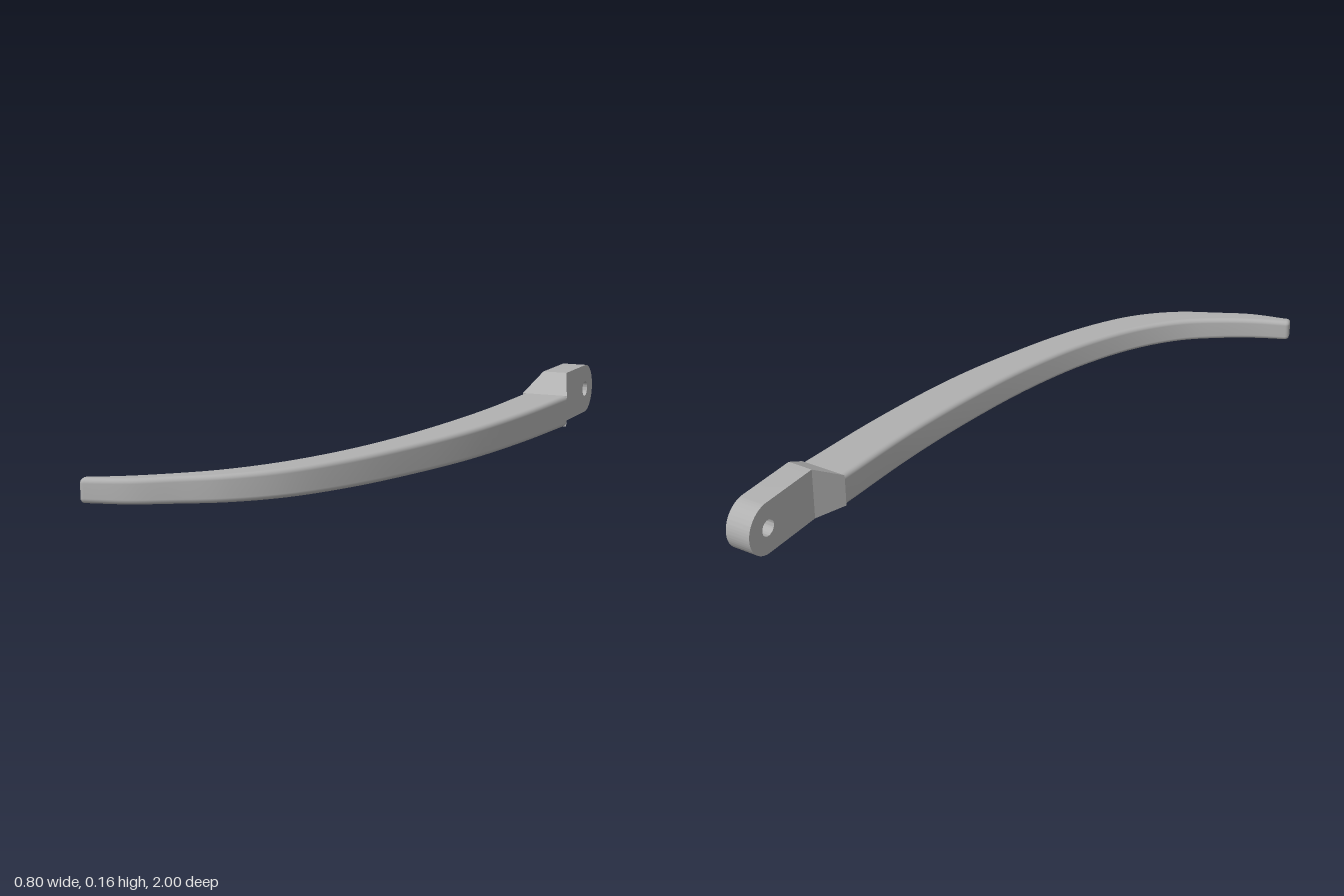
import * as THREE from 'three';
import { toCreasedNormals } from 'three/addons/utils/BufferGeometryUtils.js';

const X0 = 0.285, X1 = 0.365, EAR_TOP = 0.16;

// Curved blade: rounded-rectangle sections swept between an inner and an outer edge
function bladeGeometry() {
  const edge = (pts) => new THREE.CatmullRomCurve3(pts.map(([x, z]) => new THREE.Vector3(x, 0, z)));
  const inner = edge([[0.25, -0.62], [0.235, -0.3], [0.2, 0], [0.155, 0.24], [0.09, 0.46], [0, 0.65],
    [-0.1, 0.78], [-0.2, 0.86], [-0.3, 0.922], [-0.388, 0.963]]);
  const outer = edge([[0.4, -0.62], [0.375, -0.3], [0.329, 0.02], [0.263, 0.28], [0.175, 0.53], [0.072, 0.72],
    [-0.04, 0.836], [-0.16, 0.91], [-0.26, 0.965], [-0.378, 1.0]]);
  const heights = new THREE.SplineCurve([[-0.62, 0.1], [0, 0.092], [0.5, 0.084], [0.8, 0.077], [1, 0.067]]
    .map((p) => new THREE.Vector2(...p)));
  const heightAt = (z) => {
    let lo = 0, hi = 1;
    for (let k = 0; k < 20; k++) {
      const mid = (lo + hi) / 2;
      if (heights.getPoint(mid).x < z) lo = mid; else hi = mid;
    }
    return heights.getPoint(lo).y;
  };
  const positions = [], index = [], steps = 54, seg = 4, ring = 4 * (seg + 1), round = 0.012;

  function addRing(t, inset, advance) {
    const a = inner.getPoint(t), b = outer.getPoint(t);
    const mid = a.clone().add(b).multiplyScalar(0.5);
    const across = b.clone().sub(a);
    const halfW = across.length() / 2 - inset;
    across.normalize();
    const along = inner.getTangent(t).add(outer.getTangent(t)).normalize();
    const h = heightAt(mid.z), halfH = h / 2 - inset;
    const r = Math.max(0.014 - inset, 0.002);
    mid.addScaledVector(along, advance);
    for (let c = 0; c < 4; c++) {
      const sx = c === 0 || c === 3 ? 1 : -1, sy = c < 2 ? 1 : -1;
      for (let k = 0; k <= seg; k++) {
        const ang = (c + k / seg) * Math.PI / 2;
        const w = sx * (halfW - r) + r * Math.cos(ang);
        const y = h / 2 + sy * (halfH - r) + r * Math.sin(ang);
        positions.push(mid.x + across.x * w, y, mid.z + across.z * w);
      }
    }
    return mid.setY(h / 2);
  }

  for (let i = 0; i <= steps; i++) addRing(i / steps, 0, 0);
  let tip, rings = steps + 1;
  for (let k = 1; k <= 4; k++, rings++) { // softened tip
    const q = k / 4 * Math.PI / 2;
    tip = addRing(1, round * (1 - Math.cos(q)), round * Math.sin(q));
  }
  for (let i = 0; i < rings - 1; i++) {
    for (let j = 0; j < ring; j++) {
      const n = (j + 1) % ring;
      const a = i * ring + j, b = i * ring + n, c = b + ring, d = a + ring;
      index.push(a, b, c, a, c, d);
    }
  }
  positions.push(tip.x, tip.y, tip.z);
  const last = (rings - 1) * ring;
  for (let j = 0; j < ring; j++) index.push(last + j, last + (j + 1) % ring, rings * ring);

  const geo = new THREE.BufferGeometry();
  geo.setAttribute('position', new THREE.Float32BufferAttribute(positions, 3));
  geo.setIndex(index);
  geo.computeVertexNormals();
  return geo;
}

// Tapered neck: a box whose two ends match the blade and the pivot ear
function neckGeometry() {
  const geo = new THREE.BoxGeometry(1, 1, 1), p = geo.attributes.position;
  for (let i = 0; i < p.count; i++) {
    const front = p.getZ(i) > 0, right = p.getX(i) > 0, top = p.getY(i) > 0;
    const x = front ? (right ? 0.4 : 0.25) : (right ? X1 : X0);
    p.setXYZ(i, x, top ? (front ? 0.1 : EAR_TOP) : 0, front ? -0.62 : -0.72);
  }
  geo.computeVertexNormals();
  return geo;
}

// Pivot ear: flat plate with a round end and a bolt hole
function earGeometry() {
  const r = EAR_TOP / 2, s = new THREE.Shape();
  s.moveTo(0.72, 0);
  s.lineTo(1 - r, 0);
  s.absarc(1 - r, r, r, -Math.PI / 2, Math.PI / 2, false);
  s.lineTo(0.72, EAR_TOP);
  s.closePath();
  const hole = new THREE.Path();
  hole.absarc(1 - r, r, 0.025, 0, Math.PI * 2, true);
  s.holes.push(hole);
  const geo = new THREE.ExtrudeGeometry(s, { depth: X1 - X0, bevelEnabled: false, curveSegments: 28 });
  geo.rotateY(Math.PI / 2);
  geo.translate(X0, 0, 0);
  return toCreasedNormals(geo, 0.6);
}

export function createModel() {
  const metal = new THREE.MeshStandardMaterial({ color: 0xb0b0b0 });
  metal.name = 'grey metal';
  const group = new THREE.Group();
  group.name = 'lever';
  const parts = { blade: bladeGeometry(), neck: neckGeometry(), pivotEar: earGeometry() };
  for (const [name, geo] of Object.entries(parts)) {
    const mesh = new THREE.Mesh(geo, metal);
    mesh.name = name;
    group.add(mesh);
  }
  return group;
}
